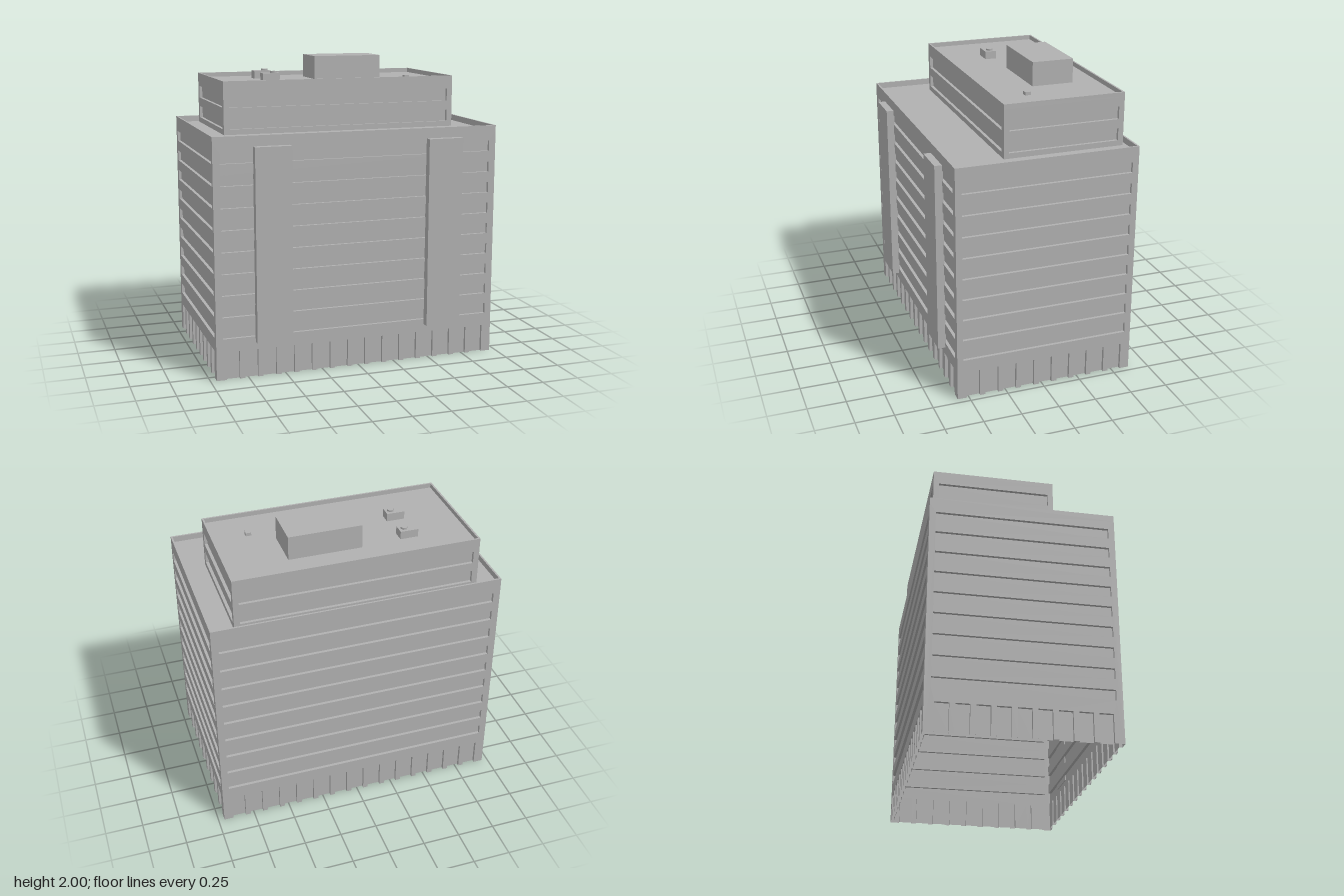
import * as THREE from 'three';
import { mergeGeometries } from 'three/addons/utils/BufferGeometryUtils.js';

const concrete = new THREE.MeshStandardMaterial({ color: 0xb0b0b0, side: THREE.DoubleSide });
concrete.name = 'concrete';

const RECESS = 0.02;
const RIM = 0.012;

function add(parent, name, geometry, x = 0, y = 0, z = 0) {
  const mesh = new THREE.Mesh(geometry, concrete);
  mesh.name = name;
  mesh.position.set(x, y, z);
  parent.add(mesh);
  return mesh;
}

// Box given by its minimum and maximum corners
function block(parent, name, [x0, y0, z0], [x1, y1, z1]) {
  return add(parent, name, new THREE.BoxGeometry(x1 - x0, y1 - y0, z1 - z0),
    (x0 + x1) / 2, (y0 + y1) / 2, (z0 + z1) / 2);
}

// Open-fronted box behind a wall opening
function recess(cx, y0, y1, w, openBelow) {
  const g = new THREE.BoxGeometry(w, y1 - y0, RECESS);
  const idx = Array.from(g.index.array);
  // Faces run +x, -x, +y, -y, +z, -z with six indices each
  g.setIndex(idx.filter((_, i) => {
    const face = Math.floor(i / 6);
    return face !== 4 && !(openBelow && face === 3);
  }));
  g.clearGroups();
  return g.translate(cx, (y0 + y1) / 2, -RECESS / 2);
}

// Thin wall facing +z with long window bands and, optionally, bays at ground level
function wallGeometry(w, y0, y1, bands, bandWidth, bays) {
  const parts = [];
  const shape = new THREE.Shape();
  shape.moveTo(-w / 2, y0);
  if (bays) {
    for (let i = 0; i < bays.count; i++) {
      const c = (i - (bays.count - 1) / 2) * bays.pitch;
      const a = c - bays.width / 2, b = c + bays.width / 2;
      shape.lineTo(a, y0);
      shape.lineTo(a, bays.height);
      shape.lineTo(b, bays.height);
      shape.lineTo(b, y0);
      parts.push(recess(c, y0, bays.height, bays.width, true));
    }
  }
  shape.lineTo(w / 2, y0);
  shape.lineTo(w / 2, y1);
  shape.lineTo(-w / 2, y1);
  shape.closePath();
  for (const [b0, b1] of bands) {
    const h = bandWidth / 2;
    shape.holes.push(new THREE.Path([
      new THREE.Vector2(-h, b0), new THREE.Vector2(-h, b1),
      new THREE.Vector2(h, b1), new THREE.Vector2(h, b0),
    ]));
    parts.push(recess(0, b0, b1, bandWidth, false));
  }
  parts.push(new THREE.ShapeGeometry(shape));
  return mergeGeometries(parts);
}

// Four walls, a sunken roof and a thin parapet
function storeyBlock(name, o) {
  const g = new THREE.Group();
  g.name = name;
  const { w, d, y0, roof, top } = o;
  const wide = wallGeometry(w, y0, roof, o.bands, o.wideBand, o.wideBays);
  const deep = wallGeometry(d, y0, roof, o.bands, o.deepBand, o.deepBays);
  add(g, 'frontWall', wide, 0, 0, d / 2);
  add(g, 'backWall', wide, 0, 0, -d / 2).rotation.y = Math.PI;
  add(g, 'leftWall', deep, w / 2, 0, 0).rotation.y = Math.PI / 2;
  add(g, 'rightWall', deep, -w / 2, 0, 0).rotation.y = -Math.PI / 2;
  add(g, 'roof', new THREE.PlaneGeometry(w, d).rotateX(-Math.PI / 2), 0, roof, 0);

  const rect = (C, x, z) => new C([[-x, -z], [x, -z], [x, z], [-x, z]]
    .map(([a, b]) => new THREE.Vector2(a, b)));
  const ring = rect(THREE.Shape, w / 2, d / 2);
  ring.holes.push(rect(THREE.Path, w / 2 - RIM, d / 2 - RIM));
  const parapet = new THREE.ExtrudeGeometry(ring, { depth: top - roof, bevelEnabled: false });
  add(g, 'parapet', parapet.rotateX(-Math.PI / 2), 0, roof, 0);
  g.position.z = o.z;
  return g;
}

export function createModel() {
  const model = new THREE.Group();
  model.name = 'officeBuilding';

  // Main tower
  const floors = [];
  for (let i = 0; i < 9; i++) floors.push([0.272 + i * 0.1403, 0.341 + i * 0.1403]);
  model.add(storeyBlock('mainBlock', {
    w: 1.92, d: 1.197, z: -0.023, y0: 0, roof: 1.525, top: 1.565,
    bands: floors, wideBand: 1.83, deepBand: 1.116,
    wideBays: { count: 15, pitch: 0.1217, width: 0.088, height: 0.185 },
    deepBays: { count: 9, pitch: 0.123, width: 0.088, height: 0.185 },
  }));

  // Set-back upper storeys
  model.add(storeyBlock('upperBlock', {
    w: 1.605, d: 0.797, z: -0.185, y0: 1.525, roof: 1.842, top: 1.872,
    bands: [[1.56, 1.64], [1.7, 1.782]], wideBand: 1.53, deepBand: 0.727,
  }));

  // Tall slabs on the front
  for (const s of [-1, 1]) {
    const x = s * 0.583;
    block(model, s > 0 ? 'leftPilaster' : 'rightPilaster',
      [x - 0.119, 0.236, 0.57], [x + 0.119, 1.497, 0.624]);
  }

  // Rooftop equipment
  block(model, 'penthouse', [-0.08, 1.842, -0.405], [0.4, 2, -0.127]);
  block(model, 'roofHatch', [0.54, 1.842, -0.047], [0.576, 1.863, -0.01]);
  for (const z of [-0.348, -0.107]) {
    block(model, 'ventUnit', [-0.462, 1.842, z - 0.039], [-0.343, 1.895, z + 0.039]);
    add(model, 'ventCap', new THREE.CylinderGeometry(0.023, 0.023, 0.012, 6).rotateY(Math.PI / 6),
      -0.38, 1.901, z);
  }
  return model;
}
